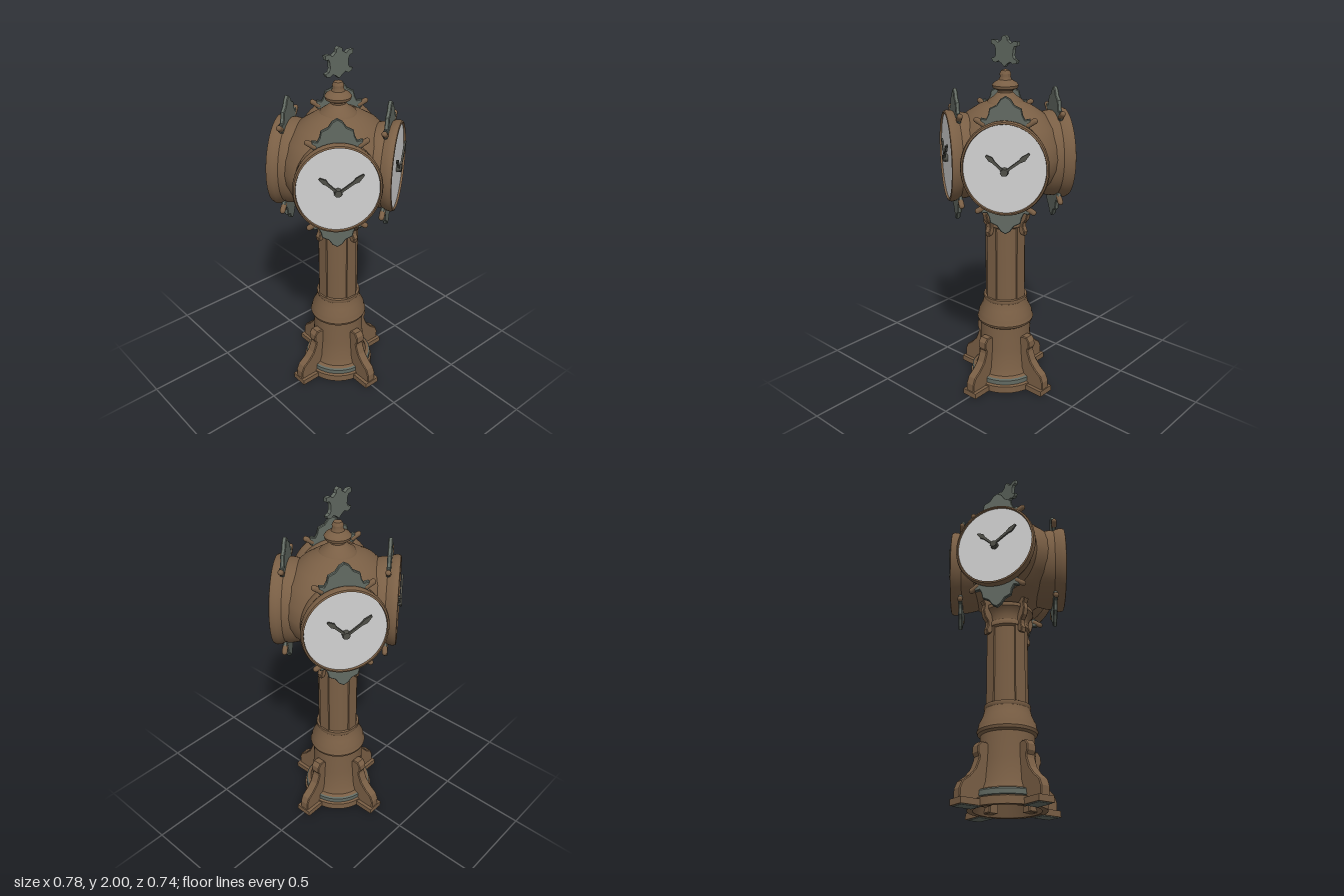
import * as THREE from 'three';
import { toCreasedNormals } from 'three/addons/utils/BufferGeometryUtils.js';

const mat = (name, color, side = THREE.FrontSide) => {
  const m = new THREE.MeshStandardMaterial({ color, side });
  m.name = name;
  return m;
};

export function createModel() {
  const bronze = mat('bronze', 0x7a5f45);
  const patina = mat('patina', 0x626a62);
  const white = mat('dialWhite', 0xd2d2d2);
  const dark = mat('handMetal', 0x4f4f48);

  const root = new THREE.Group();
  root.name = 'streetClock';

  const add = (parent, name, geo, material, x = 0, y = 0, z = 0) => {
    const m = new THREE.Mesh(geo, material);
    m.name = name;
    m.position.set(x, y, z);
    parent.add(m);
    return m;
  };
  const lathe = (pts, seg = 40) =>
    toCreasedNormals(new THREE.LatheGeometry(pts.map(p => new THREE.Vector2(p[0], p[1])), seg), 0.6);
  // Plate in the xy plane, centred on z = 0
  const plate = (pts, depth, bevel = 0) => {
    const g = new THREE.ExtrudeGeometry(new THREE.Shape(pts.map(p => new THREE.Vector2(p[0], p[1]))), {
      depth: depth - 2 * bevel, bevelEnabled: bevel > 0, bevelSize: bevel, bevelThickness: bevel, bevelSegments: 1,
    });
    return g.translate(0, 0, -depth / 2 + bevel);
  };
  const mirrored = half => [...half, ...half.filter(p => p[0] !== 0).reverse().map(p => [-p[0], p[1]])];

  // Pedestal, hollow underneath
  add(root, 'pedestal', lathe([
    [0, 0.07], [0.15, 0.07], [0.175, 0.005], [0.205, 0.005], [0.205, 0.045], [0.19, 0.05], [0.19, 0.085],
    [0.17, 0.095], [0.158, 0.13], [0.147, 0.25], [0.143, 0.385], [0.157, 0.395], [0.162, 0.41],
    [0.155, 0.43], [0.152, 0.45], [0.132, 0.49], [0.122, 0.53], [0.126, 0.54], [0.124, 0.552], [0.112, 0.555],
  ]), bronze);
  add(root, 'pedestalBand', lathe([[0.188, 0.05], [0.196, 0.055], [0.196, 0.08], [0.188, 0.088]]), patina);

  // Column shaft and capital
  add(root, 'shaft', lathe([
    [0.112, 0.55], [0.112, 0.98], [0.122, 0.99], [0.122, 1.01], [0.116, 1.02], [0.118, 1.05],
    [0.135, 1.08], [0.143, 1.09], [0.143, 1.11], [0.12, 1.12], [0.12, 1.16],
  ]), bronze);

  // Four buttress legs, shaft ribs and capital brackets
  const legPts = [
    [0.12, 0.02], [0.3, 0.02], [0.3, 0.08], [0.285, 0.115], [0.245, 0.145], [0.21, 0.185], [0.19, 0.235],
    [0.187, 0.255], [0.198, 0.275], [0.196, 0.305], [0.18, 0.325], [0.155, 0.325], [0.12, 0.31],
  ];
  const bracketPts = [
    [0.1, 0.99], [0.125, 0.95], [0.142, 0.945], [0.147, 0.965], [0.135, 0.99], [0.137, 1.015], [0.158, 1.04],
    [0.168, 1.075], [0.16, 1.11], [0.172, 1.13], [0.15, 1.145], [0.1, 1.13],
  ];
  for (let i = 0; i < 4; i++) {
    const side = new THREE.Group();
    side.name = 'columnSide';
    side.rotation.y = i * Math.PI / 2;
    root.add(side);
    add(side, 'leg', plate(legPts, 0.056, 0.005), bronze);
    add(side, 'foot', new THREE.BoxGeometry(0.13, 0.032, 0.095), bronze, 0.246, 0.02, 0);
    add(side, 'footPad', new THREE.BoxGeometry(0.11, 0.005, 0.08), patina, 0.246, 0.0025, 0);
    add(side, 'shaftRib', new THREE.BoxGeometry(0.02, 0.44, 0.064), bronze, 0.106, 0.775, 0);
    add(side, 'bracket', plate(bracketPts, 0.032, 0.004), bronze);
  }

  // Bulbous clock housing with domed top
  const body = add(root, 'housing', lathe([
    [0.11, 1.11], [0.15, 1.14], [0.22, 1.19], [0.285, 1.26], [0.32, 1.33], [0.328, 1.39], [0.315, 1.46],
    [0.275, 1.54], [0.215, 1.6], [0.15, 1.64], [0.09, 1.665],
  ], 48), bronze);
  body.scale.z = 0.89;

  // Finial
  add(root, 'finial', lathe([
    [0.1, 1.635], [0.102, 1.65], [0.092, 1.668], [0.06, 1.69], [0.04, 1.71], [0.042, 1.72], [0.066, 1.732],
    [0.07, 1.747], [0.06, 1.76], [0.034, 1.775], [0.028, 1.79], [0.03, 1.805], [0.022, 1.822], [0, 1.83],
  ], 32), bronze);

  // Flat emblem on top: rounded body with head, tail and four flippers
  add(root, 'topEmblem', plate(mirrored([
    [0, 1.84], [0.018, 1.856], [0.04, 1.868], [0.058, 1.858], [0.08, 1.862], [0.088, 1.878], [0.066, 1.884],
    [0.058, 1.9], [0.06, 1.93], [0.068, 1.947], [0.088, 1.95], [0.09, 1.972], [0.062, 1.972], [0.044, 1.96],
    [0.02, 1.975], [0.018, 1.99], [0, 2.0],
  ]), 0.02), patina);

  // Clock heads
  const drumGeo = lathe([
    [0.18, -0.25], [0.212, -0.17], [0.23, -0.1], [0.233, -0.075], [0.229, -0.06], [0.243, -0.035],
    [0.246, -0.015], [0.24, 0], [0.231, 0.003], [0.227, -0.012],
  ], 56).rotateX(Math.PI / 2);
  const crestPts = mirrored([
    [0, 0.22], [0.1, 0.19], [0.125, 0.215], [0.12, 0.245], [0.095, 0.24], [0.082, 0.265], [0.076, 0.295],
    [0.042, 0.312], [0.022, 0.342], [0, 0.355],
  ]);
  const handShape = len => [
    [-0.02, -0.008], [0.03, -0.006], [len * 0.6, -0.008], [len * 0.75, -0.015], [len, -0.003],
    [len, 0.006], [len * 0.75, 0.012], [len * 0.6, 0.006], [0.03, 0.006], [-0.02, 0.008],
  ];
  const tilt = 35.5 * Math.PI / 180;
  for (const sx of [1, -1]) for (const sz of [1, -1]) {
    const head = new THREE.Group();
    head.name = 'clockHead';
    head.position.set(sx * 0.208, 1.375, sz * 0.243);
    head.rotation.y = sz > 0 ? sx * tilt : Math.PI - sx * tilt;
    root.add(head);

    add(head, 'drum', drumGeo, bronze).scale.x = 0.92;
    add(head, 'dial', new THREE.CircleGeometry(0.23, 56), white, 0, 0, -0.008).scale.x = 0.92;

    // Hands on a central boss
    add(head, 'hourHand', plate(handShape(0.125), 0.01), dark, 0, -0.01, 0.006).rotation.z = 2.4;
    add(head, 'minuteHand', plate(handShape(0.16), 0.01), dark, 0, -0.01, 0.012).rotation.z = 0.66;
    add(head, 'handBoss', new THREE.CylinderGeometry(0.018, 0.022, 0.03, 12).rotateX(Math.PI / 2), dark, 0, -0.01, 0.004);

    // Leafy crests above and below, each with scroll knobs at the ends
    for (const up of [1, -1]) {
      const crest = new THREE.Group();
      crest.name = up > 0 ? 'upperCrest' : 'lowerCrest';
      crest.position.z = -0.055;
      crest.rotation.z = up > 0 ? 0 : Math.PI;
      head.add(crest);
      add(crest, 'crestLeaf', plate(crestPts, 0.022, 0.004), patina);
      for (const s of [1, -1]) {
        const knob = add(crest, 'scrollKnob', new THREE.CapsuleGeometry(0.015, 0.04, 4, 10), bronze, s * 0.128, 0.228, 0);
        knob.rotation.z = s * -1.0;
      }
    }
  }
  return root;
}
